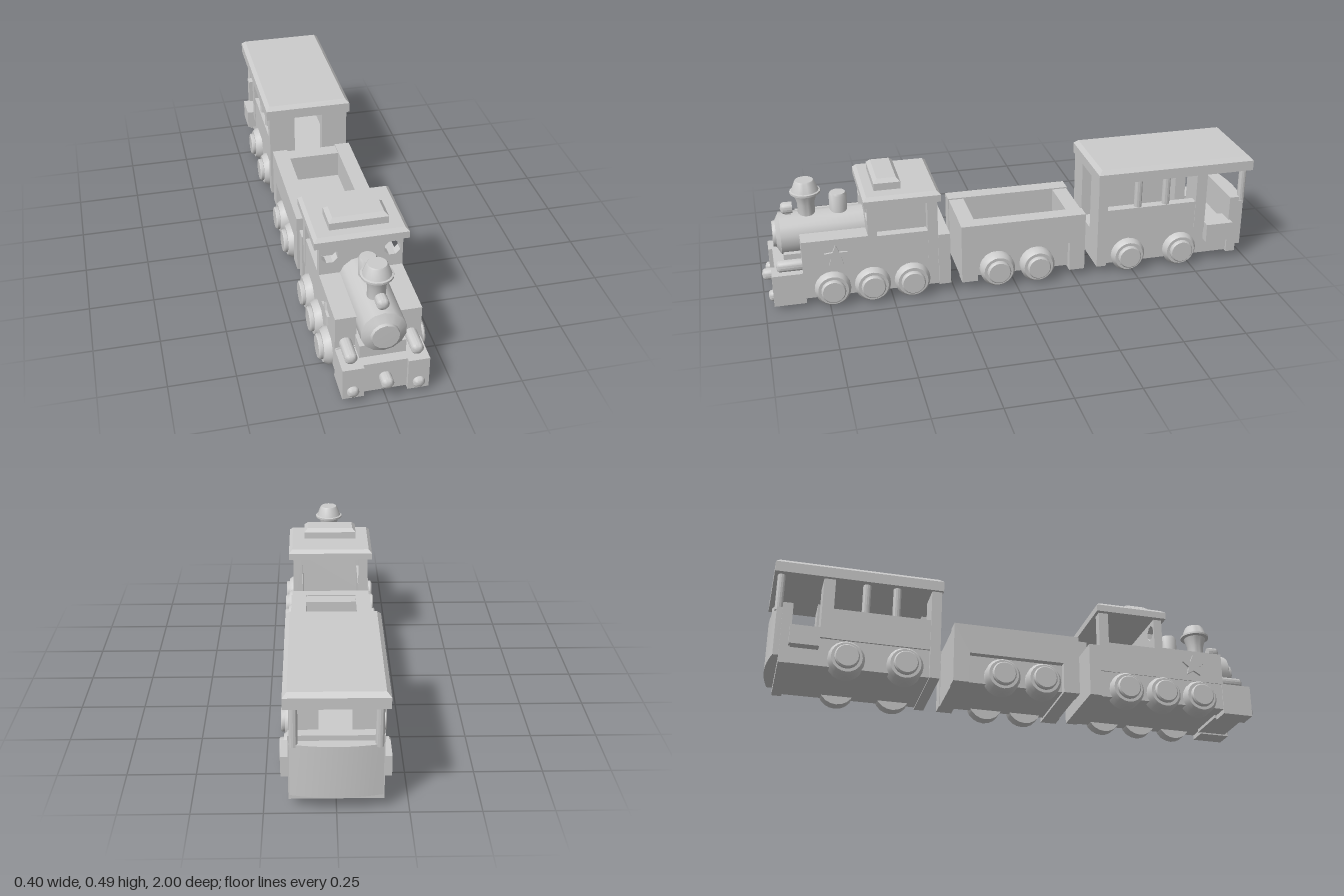
import * as THREE from 'three';
import { toCreasedNormals } from 'three/addons/utils/BufferGeometryUtils.js';

const mat = new THREE.MeshStandardMaterial({ color: 0xcccccc, side: THREE.DoubleSide });

function add(parent, name, geo, x = 0, y = 0, z = 0) {
  const mesh = new THREE.Mesh(toCreasedNormals(geo, 0.7), mat);
  mesh.name = name;
  mesh.position.set(x, y, z);
  parent.add(mesh);
  return mesh;
}

// Box given by its limits on each axis
function box(parent, name, x0, x1, y0, y1, z0, z1) {
  return add(parent, name, new THREE.BoxGeometry(x1 - x0, y1 - y0, z1 - z0),
    (x0 + x1) / 2, (y0 + y1) / 2, (z0 + z1) / 2);
}

// Same box on both sides of the train
function pair(parent, name, x0, x1, ...rest) {
  box(parent, name + 'Left', x0, x1, ...rest);
  box(parent, name + 'Right', -x1, -x0, ...rest);
}

// Slab with a chamfered top edge
function slab(parent, name, halfWidth, y0, y1, z0, z1, inset) {
  const w = halfWidth * 2, h = y1 - y0, d = z1 - z0;
  const geo = new THREE.BoxGeometry(w, h, d, 1, 2, 1), p = geo.attributes.position;
  for (let i = 0; i < p.count; i++) {
    if (p.getY(i) > h / 4) {
      p.setX(i, p.getX(i) * (1 - inset / halfWidth));
      p.setZ(i, p.getZ(i) * (1 - 2 * inset / d));
    } else if (p.getY(i) > -h / 4) p.setY(i, h / 2 - inset);
  }
  add(parent, name, geo, 0, (y0 + y1) / 2, (z0 + z1) / 2);
}

const lathe = (points, sides) =>
  new THREE.LatheGeometry(points.map(([r, h]) => new THREE.Vector2(r, h)), sides);

function post(parent, name, r, y0, y1, x, z) {
  add(parent, name, new THREE.CylinderGeometry(r, r, y1 - y0, 12), x, (y0 + y1) / 2, z);
}

// Round-nosed stub pointing forward, from z0 to z1
function stub(parent, name, r, x, y, z0, z1) {
  const geo = lathe([[0, z0], [r, z0], [r, z1 - r * 0.5], [r * 0.7, z1 - r * 0.15], [0, z1]], 16);
  add(parent, name, geo.rotateX(Math.PI / 2), x, y, 0);
}

// Pairs of wheels with raised hubs
function wheels(parent, zs) {
  const profile = [[0, 0.12], [0.071, 0.12], [0.071, 0.168], [0.06, 0.184], [0.048, 0.184],
    [0.048, 0.195], [0.043, 0.2], [0, 0.2]];
  for (const z of zs) for (const s of [1, -1]) {
    const geo = lathe(profile, 20).rotateZ(-Math.PI / 2);
    if (s < 0) geo.rotateY(Math.PI);
    add(parent, 'wheel', geo, 0, 0.071, z);
  }
}

function extrude(shape, depth) {
  return new THREE.ExtrudeGeometry(shape, { depth, bevelEnabled: false, curveSegments: 8 });
}

function polygon(points) {
  return new THREE.Shape(points.map(([x, y]) => new THREE.Vector2(x, y)));
}

function locomotive() {
  const g = new THREE.Group();
  g.name = 'locomotive';
  box(g, 'chassis', -0.155, 0.155, 0.035, 0.15, 0.29, 0.85);
  wheels(g, [0.735, 0.578, 0.42]);

  // Front beam and buffers
  box(g, 'frontBeam', -0.085, 0.085, 0.022, 0.147, 0.83, 0.95);
  pair(g, 'frontBlock', 0.08, 0.158, 0.016, 0.147, 0.84, 0.965);
  stub(g, 'coupling', 0.023, 0, 0.08, 0.94, 1);
  for (const s of [1, -1]) {
    stub(g, 'buffer', 0.022, s * 0.12, 0.047, 0.95, 0.983);
    stub(g, 'headlamp', 0.023, s * 0.12, 0.17, 0.83, 0.945);
  }

  // Boiler with saddle and side tanks
  add(g, 'boiler', lathe([[0, 0.57], [0.084, 0.57], [0.084, 0.915], [0.053, 0.932],
    [0.05, 0.944], [0, 0.945]], 14).rotateX(Math.PI / 2), 0, 0.255, 0);
  box(g, 'saddle', -0.085, 0.085, 0.14, 0.2, 0.58, 0.91);
  pair(g, 'sideTank', 0.08, 0.158, 0.145, 0.28, 0.58, 0.845);

  // Star badge on each tank
  const star = polygon(Array.from({ length: 10 }, (_, i) => {
    const a = Math.PI / 2 + i * Math.PI / 5, r = i % 2 ? 0.022 : 0.048;
    return [r * Math.cos(a), r * Math.sin(a)];
  }));
  for (const x of [0.155, -0.167])
    add(g, 'star', extrude(star, 0.012).rotateY(Math.PI / 2), x, 0.21, 0.715);

  // Chimney, dome and top lamp
  add(g, 'chimney', lathe([[0, 0.32], [0.034, 0.32], [0.034, 0.378], [0.046, 0.418], [0.06, 0.421],
    [0.06, 0.429], [0.053, 0.431], [0.039, 0.468], [0.035, 0.473], [0, 0.473]], 18), 0, 0, 0.805);
  add(g, 'steamDome', lathe([[0, 0.31], [0.035, 0.31], [0.035, 0.4], [0.03, 0.409], [0, 0.41]], 16), 0, 0, 0.68);
  stub(g, 'topLamp', 0.023, 0, 0.361, 0.86, 0.907);
  box(g, 'lampBracket', -0.012, 0.012, 0.32, 0.345, 0.865, 0.89);

  // Cab with two round front windows
  const front = polygon([[-0.158, 0.145], [0.158, 0.145], [0.158, 0.41], [-0.158, 0.41]]);
  for (const s of [1, -1]) {
    const hole = new THREE.Path();
    hole.absarc(s * 0.118, 0.36, 0.032, Math.PI / 8, Math.PI * 2.125, true);
    hole.closePath();
    front.holes.push(new THREE.Path(Array.from({ length: 8 }, (_, i) => {
      const a = -(i + 0.5) * Math.PI / 4;
      return new THREE.Vector2(s * 0.118 + 0.032 * Math.cos(a), 0.36 + 0.032 * Math.sin(a));
    })));
  }
  add(g, 'cabFront', extrude(front, 0.035), 0, 0, 0.552);
  pair(g, 'cabSide', 0.12, 0.158, 0.145, 0.275, 0.34, 0.56);
  pair(g, 'cabPost', 0.122, 0.16, 0.145, 0.41, 0.312, 0.352);
  box(g, 'cabBack', -0.165, 0.165, 0.035, 0.255, 0.265, 0.312);
  slab(g, 'cabRoof', 0.178, 0.405, 0.447, 0.3, 0.6, 0.014);
  slab(g, 'roofVent', 0.112, 0.44, 0.491, 0.445, 0.55, 0.015);
  return g;
}

function wagon() {
  const g = new THREE.Group();
  g.name = 'wagon';
  box(g, 'chassis', -0.14, 0.14, 0.04, 0.16, -0.24, 0.165);
  wheels(g, [0.072, -0.094]);
  // Side panels arch over the wheels
  const side = polygon([[-0.22, 0.03], [-0.155, 0.03], [-0.155, 0.155], [0.228, 0.155],
    [0.228, 0.03], [0.292, 0.03], [0.292, 0.277], [-0.22, 0.277]]);
  for (const x of [0.105, -0.167])
    add(g, 'sidePanel', extrude(side, 0.062).rotateY(Math.PI / 2), x, 0, 0);
  box(g, 'frontEnd', -0.105, 0.105, 0.03, 0.272, 0.155, 0.217);
  box(g, 'backEnd', -0.105, 0.105, 0.03, 0.272, -0.289, -0.228);
  return g;
}

function coach() {
  const g = new THREE.Group();
  g.name = 'coach';
  box(g, 'chassis', -0.155, 0.155, 0.035, 0.152, -0.93, -0.36);
  wheels(g, [-0.48, -0.705]);

  // Body: doorway walls at both ends, low sides and window posts
  pair(g, 'frontWall', 0.06, 0.168, 0.03, 0.415, -0.385, -0.345);
  box(g, 'frontSill', -0.06, 0.06, 0.03, 0.16, -0.385, -0.345);
  pair(g, 'sideWall', 0.125, 0.162, 0.15, 0.278, -0.775, -0.38);
  pair(g, 'rearWall', 0.06, 0.165, 0.15, 0.415, -0.81, -0.765);
  for (const s of [1, -1]) {
    for (const z of [-0.52, -0.64]) post(g, 'windowPost', 0.016, 0.27, 0.415, s * 0.143, z);
    post(g, 'platformPost', 0.015, 0.25, 0.415, s * 0.145, -0.972);
  }

  // Rear platform, side steps and end board
  pair(g, 'step', 0.1, 0.192, 0.1, 0.178, -0.925, -0.812);
  box(g, 'endBoard', -0.165, 0.165, 0.03, 0.28, -0.957, -0.918);
  const plate = new THREE.BoxGeometry(0.32, 0.2, 0.043, 8, 1, 1), p = plate.attributes.position;
  for (let i = 0; i < p.count; i++) // gently bowed back face
    if (p.getZ(i) < 0) p.setZ(i, p.getZ(i) + 0.02 * (p.getX(i) / 0.16) ** 2);
  add(g, 'endPlate', plate, 0, 0.16, -0.9775);
  slab(g, 'roof', 0.18, 0.403, 0.461, -1, -0.34, 0.016);
  return g;
}

export function createModel() {
  const train = new THREE.Group();
  train.name = 'toyTrain';
  train.add(locomotive(), wagon(), coach());
  return train;
}
